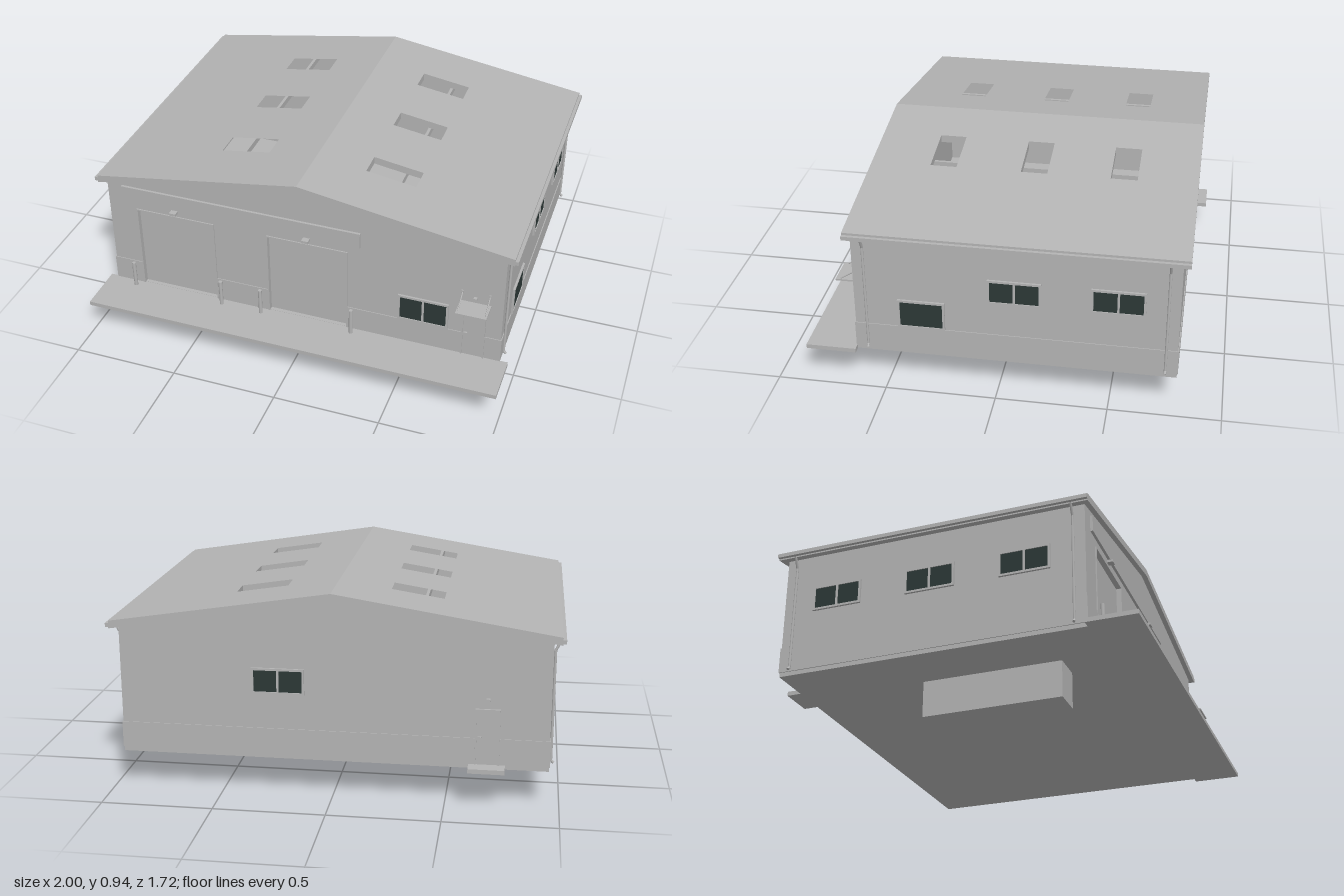
import * as THREE from 'three';

const concrete = new THREE.MeshStandardMaterial({ color: 0xb4b4b4 });
concrete.name = 'light grey';
const glass = new THREE.MeshStandardMaterial({ color: 0x2c3836 });
glass.name = 'dark glass';

const FRONT = 0.633, BACK = -0.793, SIDE = 0.95, FLOOR = 0.19, BASE = 0.17;
const RIDGE = 0.94, ROOF_T = 0.035, SLOPE = 0.157, WALL_T = 0.03;

export function createModel() {
  const model = new THREE.Group();
  model.name = 'workshopBuilding';

  const add = (name, geometry, parent = model, material = concrete) => {
    const mesh = new THREE.Mesh(geometry, material);
    mesh.name = name;
    parent.add(mesh);
    return mesh;
  };
  // Box given by its minimum and maximum on each axis
  const box = (name, x0, x1, y0, y1, z0, z1, parent, material) => {
    const mesh = add(name, new THREE.BoxGeometry(x1 - x0, y1 - y0, z1 - z0), parent, material);
    mesh.position.set((x0 + x1) / 2, (y0 + y1) / 2, (z0 + z1) / 2);
    return mesh;
  };
  // Round bar between two points
  const bar = (name, a, b, r, parent) => {
    const from = new THREE.Vector3(...a), to = new THREE.Vector3(...b);
    const mesh = add(name, new THREE.CylinderGeometry(r, r, from.distanceTo(to), 12), parent);
    mesh.position.copy(from).add(to).multiplyScalar(0.5);
    mesh.quaternion.setFromUnitVectors(new THREE.Vector3(0, 1, 0), to.sub(from).normalize());
    return mesh;
  };
  const rect = (C, x0, x1, y0, y1) => new C([[x0, y0], [x1, y0], [x1, y1], [x0, y1]]
    .map(([x, y]) => new THREE.Vector2(x, y)));
  // Group on a wall whose local +z points outwards
  const mount = (name, x, y, z, turn) => {
    const g = new THREE.Group();
    g.name = name;
    g.position.set(x, y, z);
    g.rotation.y = turn;
    model.add(g);
    return g;
  };

  // Ground slab, front apron, inspection pit, back step
  box('floorSlab', -SIDE, SIDE, BASE, FLOOR, -0.775, FRONT);
  box('frontApron', -0.99, 0.99, BASE, FLOOR, FRONT, 0.86);
  box('inspectionPit', -0.685, -0.545, 0, BASE, -0.215, 0.435);
  box('backStep', -0.76, -0.6, BASE, FLOOR, -0.86, -0.787);

  // Gable walls, the front one with two gate openings
  const gates = [[-0.805, -0.425], [-0.155, 0.225]];
  const gateTop = 0.617;
  const gable = (name, z, holes) => {
    const eave = RIDGE - ROOF_T - SLOPE * SIDE;
    const shape = new THREE.Shape([[-SIDE, BASE], [SIDE, BASE], [SIDE, eave], [0, RIDGE - ROOF_T], [-SIDE, eave]]
      .map(([x, y]) => new THREE.Vector2(x, y)));
    shape.holes = holes.map(([a, b]) => rect(THREE.Path, a, b, FLOOR + 0.001, gateTop));
    add(name, new THREE.ExtrudeGeometry(shape, { depth: WALL_T, bevelEnabled: false })).position.z = z;
  };
  gable('frontWall', FRONT - WALL_T, gates);
  gable('backWall', BACK, []);
  for (const s of [-1, 1]) {
    const x = s * (SIDE - WALL_T / 2);
    box('sideWall', x - WALL_T / 2, x + WALL_T / 2, BASE, 0.757, BACK + WALL_T, FRONT - WALL_T);
  }

  // Plinth band, interrupted at gates and doors
  const P = 0.004, plinthTop = 0.31;
  for (const [a, b] of [[-SIDE, -0.805], [-0.425, -0.155], [0.225, 0.77], [0.875, SIDE]])
    box('frontPlinth', a, b, FLOOR, plinthTop, FRONT, FRONT + P);
  for (const [a, b] of [[-SIDE, -0.735], [-0.625, SIDE]])
    box('backPlinth', a, b, FLOOR, plinthTop, BACK - P, BACK);
  for (const s of [-1, 1]) {
    const x = s * (SIDE + P / 2);
    box('sidePlinth', x - P / 2, x + P / 2, FLOOR, plinthTop, BACK - P, FRONT + P);
  }

  // Gates set back in their openings, with slim frames and lamps
  for (const [a, b] of gates) {
    box('gatePanel', a, b, FLOOR, gateTop, FRONT - 0.03, FRONT - 0.018);
    box('gateHead', a - 0.006, b + 0.006, gateTop, gateTop + 0.006, FRONT, FRONT + 0.006);
    for (const x of [a - 0.006, b]) box('gateJamb', x, x + 0.006, FLOOR, gateTop, FRONT, FRONT + 0.006);
    const c = (a + b) / 2;
    box('gateLamp', c - 0.016, c + 0.016, 0.643, 0.655, FRONT, FRONT + 0.028);
  }
  box('fasciaBoard', -0.875, 0.29, 0.665, 0.742, FRONT, FRONT + 0.012);

  // Bollards beside the gates
  for (const x of [-0.84, -0.39, -0.19, 0.257])
    bar('bollard', [x, FLOOR, 0.668], [x, 0.322, 0.668], 0.009);

  // Roof halves with skylight openings, sheared from a flat plate
  const roofZ = [-0.825, 0.657];
  for (const s of [-1, 1]) {
    const shape = rect(THREE.Shape, 0, s * 0.985, -roofZ[1], -roofZ[0]);
    shape.holes = [-0.495, -0.09, 0.325].map((z) =>
      rect(THREE.Path, s * 0.233, s * 0.468, -z - 0.06, -z + 0.06));
    const g = new THREE.ExtrudeGeometry(shape, { depth: ROOF_T, bevelEnabled: false });
    g.rotateX(-Math.PI / 2);
    const p = g.attributes.position;
    for (let i = 0; i < p.count; i++)
      p.setY(i, p.getY(i) + RIDGE - ROOF_T - SLOPE * Math.abs(p.getX(i)));
    g.computeVertexNormals();
    add('roofHalf', g);

    // Purlin, eaves gutter and downpipes
    const x = s * 0.38;
    box('purlin', x - 0.007, x + 0.007, 0.815, 0.844, BACK + WALL_T, FRONT - WALL_T);
    const e = s * 0.985;
    box('gutter', e - 0.015, e + 0.015, 0.757, 0.775, ...roofZ);
    for (const z of [0.58, -0.742]) {
      bar('downpipe', [s * 0.957, 0.205, z], [s * 0.957, 0.705, z], 0.006);
      bar('downpipeNeck', [s * 0.957, 0.705, z], [s * 0.982, 0.757, z], 0.006);
      bar('downpipeFoot', [s * 0.957, 0.207, z], [s * 0.968, 0.194, z], 0.006);
    }
  }

  // Windows: glass plate, frame and optional mullion
  const addWindow = (x, y, z, turn, w, h, mullion = true) => {
    const g = mount('window', x, y, z, turn);
    const f = 0.01, d = 0.01, W = w / 2, H = h / 2;
    box('windowGlass', -W + f, W - f, -H + f, H - f, 0, 0.006, g, glass);
    for (const s of [-1, 1]) {
      box('frameRail', -W, W, s * (H - f / 2) - f / 2, s * (H - f / 2) + f / 2, 0, d, g);
      box('frameStile', s * (W - f / 2) - f / 2, s * (W - f / 2) + f / 2, -H + f, H - f, 0, d, g);
    }
    if (mullion) box('mullion', -f / 2, f / 2, -H + f, H - f, 0, d, g);
  };
  const Q = Math.PI / 2;
  addWindow(0.588, 0.382, FRONT, 0, 0.235, 0.135);
  addWindow(0.24, 0.53, BACK, Math.PI, 0.235, 0.118);
  addWindow(SIDE, 0.38, 0.333, Q, 0.21, 0.14, false);
  for (const z of [-0.08, -0.53]) addWindow(SIDE, 0.532, z, Q, 0.235, 0.118);
  for (const z of [-0.53, -0.08, 0.36]) addWindow(-SIDE, 0.532, z, -Q, 0.235, 0.118);

  // Personnel doors with frame, handle and wall lamp
  const addDoor = (x, z, turn, lampY) => {
    const g = mount('door', x, 0, z, turn);
    const W = 0.054, top = 0.445;
    box('doorLeaf', -W + 0.007, W - 0.007, FLOOR, top - 0.007, 0, 0.004, g);
    for (const s of [-1, 1])
      box('doorJamb', s * (W - 0.0035) - 0.0035, s * (W - 0.0035) + 0.0035, FLOOR, top, 0, 0.01, g);
    box('doorHead', -W, W, top - 0.007, top, 0, 0.01, g);
    box('doorHandle', -0.042, -0.026, 0.314, 0.319, 0.004, 0.012, g);
    box('doorLamp', -0.008, 0.008, lampY - 0.006, lampY + 0.006, 0, 0.015, g);
  };
  addDoor(0.823, FRONT, 0, 0.517);
  addDoor(-0.68, BACK, Math.PI, 0.487);

  // Canopy over the front door, hung on two rods
  box('canopy', 0.755, 0.895, 0.483, 0.491, FRONT, 0.73);
  for (const x of [0.763, 0.887]) {
    bar('canopyRod', [x, 0.49, 0.71], [x, 0.541, FRONT], 0.003);
    box('rodPlate', x - 0.005, x + 0.005, 0.533, 0.549, FRONT, FRONT + 0.005);
  }

  return model;
}
